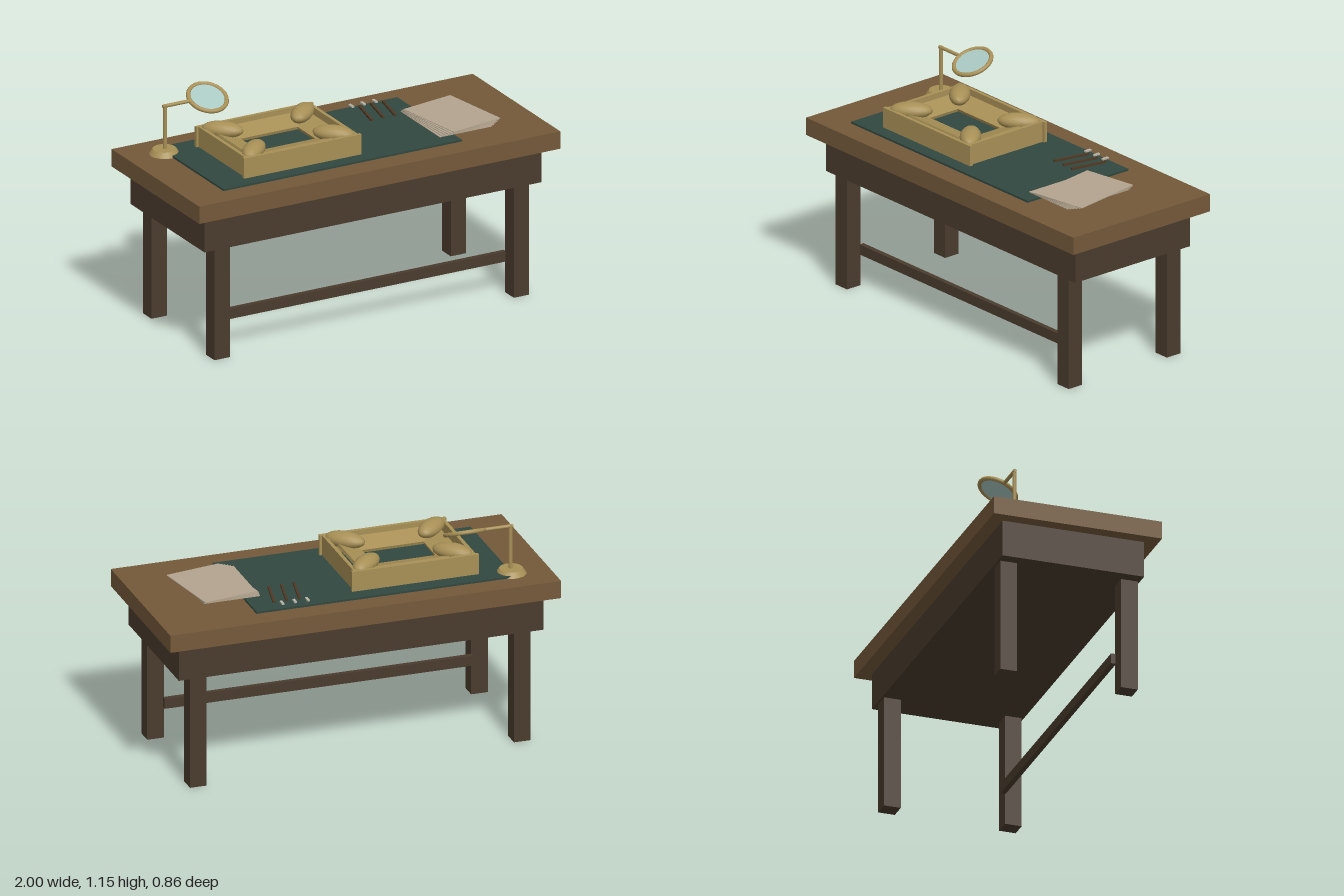
import * as THREE from 'three';

export function createModel() {
  const root = new THREE.Group();
  const mat = (name, color) => {
    const m = new THREE.MeshStandardMaterial({ color });
    m.name = name;
    return m;
  };
  const wood = mat('tableWood', 0x74593a);
  const darkWood = mat('darkWood', 0x4a3b2d);
  const green = mat('deskMat', 0x30473f);
  const brass = mat('brass', 0xa89056);
  const glass = mat('glass', 0xa9c8c2);
  const paper = mat('paper', 0xb3a48e);
  const handle = mat('toolHandle', 0x4f3824);
  const steel = mat('steel', 0xb8b4a8);

  const add = (name, geo, m, x, y, z, parent = root) => {
    const mesh = new THREE.Mesh(geo, m);
    mesh.name = name;
    mesh.position.set(x, y, z);
    parent.add(mesh);
    return mesh;
  };
  const box = (name, m, w, h, d, x, y, z, parent) =>
    add(name, new THREE.BoxGeometry(w, h, d), m, x, y, z, parent);

  // Table
  box('tableTop', wood, 2, 0.09, 0.862, 0, 0.805, 0);
  box('apron', darkWood, 1.866, 0.185, 0.726, 0, 0.668, 0);
  for (const sx of [-1, 1])
    for (const sz of [-1, 1])
      box('leg', darkWood, 0.085, 0.58, 0.085, sx * 0.829, 0.29, sz * 0.31);
  box('stretcher', darkWood, 1.58, 0.052, 0.026, 0, 0.186, 0.258);
  box('deskMat', green, 1.32, 0.01, 0.635, -0.14, 0.856, -0.003);

  // Open frame with thin outer walls and inward-sloping inner planks
  const frame = new THREE.Group();
  frame.name = 'openFrame';
  frame.position.set(-0.321, 0.86, 0);
  root.add(frame);
  for (const s of [-1, 1]) {
    box('longWall', brass, 0.65, 0.105, 0.018, 0, 0.0525, s * 0.235, frame);
    box('sideWall', brass, 0.018, 0.105, 0.452, s * 0.304, 0.0525, 0, frame);
    box('longPlank', brass, 0.5, 0.016, 0.11, 0, 0.07, s * 0.142, frame).rotation.x = -s * 0.3;
    box('sidePlank', brass, 0.11, 0.016, 0.36, s * 0.212, 0.07, 0, frame).rotation.z = s * 0.3;
    // Padded corner knobs pointing outward
    for (const t of [-1, 1]) {
      const knob = add('cornerKnob', new THREE.SphereGeometry(1, 16, 10), brass,
        s * 0.221, 0.1, t * 0.153, frame);
      knob.scale.set(0.105, 0.04, 0.052);
      knob.rotation.y = -s * t * 0.76;
    }
  }

  // Magnifier on a stand
  const lens = new THREE.Group();
  lens.name = 'magnifier';
  root.add(lens);
  add('standBase', new THREE.CylinderGeometry(0.058, 0.075, 0.026, 24), brass, -0.805, 0.863, -0.257, lens);
  add('standPost', new THREE.CylinderGeometry(0.01, 0.01, 0.235, 10), brass, -0.803, 0.985, -0.255, lens);
  add('standArm', new THREE.CylinderGeometry(0.009, 0.009, 0.16, 10), brass, -0.735, 1.096, -0.256, lens)
    .rotation.z = Math.PI / 2;
  const head = new THREE.Group();
  head.name = 'lensHead';
  head.position.set(-0.568, 1.095, -0.256);
  head.rotation.x = 0.43;
  lens.add(head);
  add('lensRing', new THREE.TorusGeometry(0.095, 0.011, 10, 32), brass, 0, 0, 0, head).rotation.x = Math.PI / 2;
  add('lensGlass', new THREE.CylinderGeometry(0.093, 0.093, 0.006, 32), glass, 0, 0, 0, head);

  // Fanned sheets of paper
  const sheets = 6;
  for (let i = 0; i < sheets; i++) {
    const t = i / (sheets - 1);
    box('paperSheet', paper, 0.29, 0.003, 0.385,
      0.585 + 0.035 * t, 0.863 + 0.017 * t, 0.047 - 0.007 * t).rotation.y = 0.17 * t;
  }

  // Small hand tools
  for (let i = 0; i < 3; i++) {
    const x = 0.25 + i * 0.065;
    box('toolHandle', handle, 0.012, 0.01, 0.19, x + 0.014, 0.878, -0.178).rotation.y = -0.2;
    box('toolTip', steel, 0.013, 0.008, 0.036, x, 0.878, -0.293);
  }

  return root;
}
